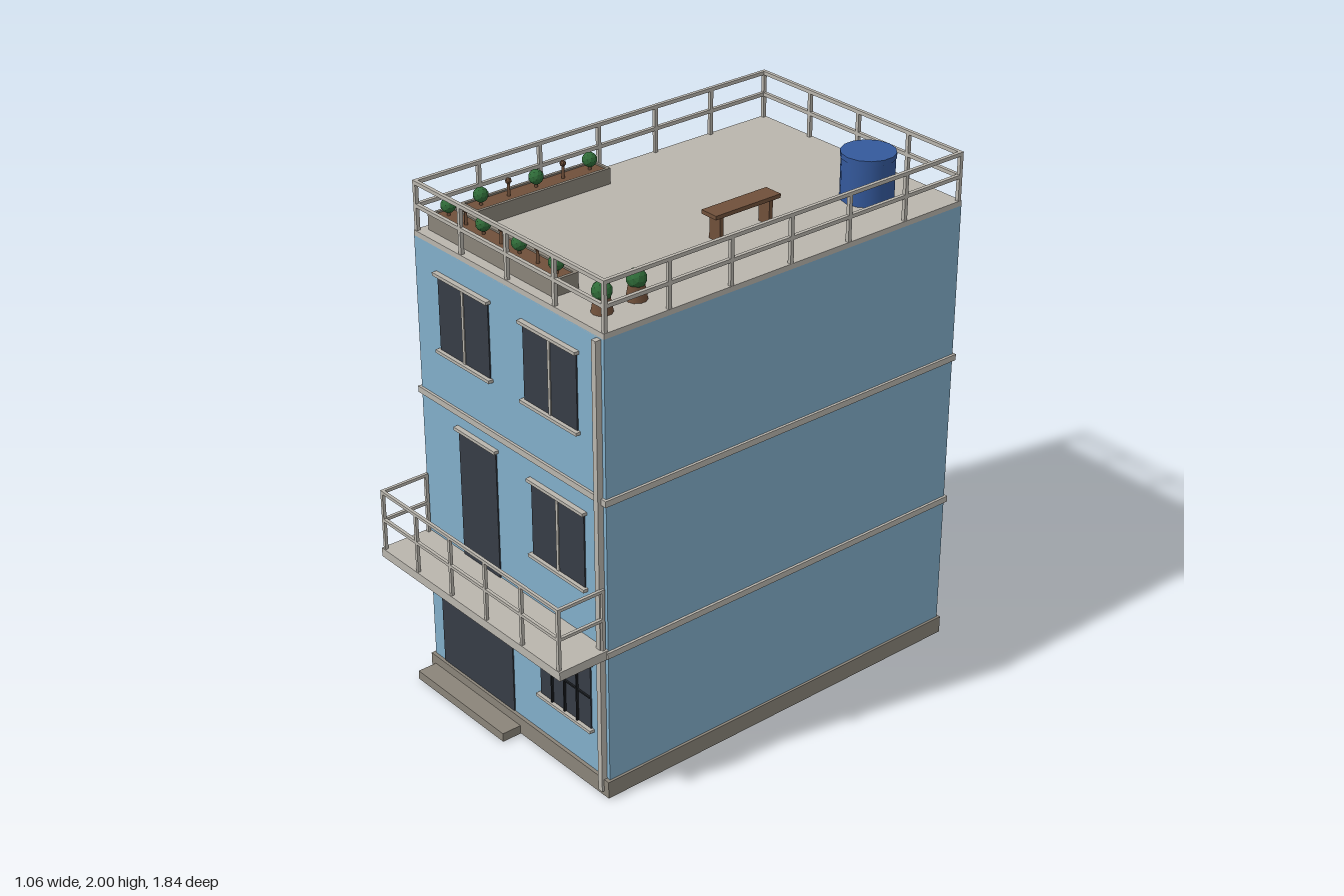
import * as THREE from 'three';

const mat = (name, color) => {
  const m = new THREE.MeshStandardMaterial({ color });
  m.name = name;
  return m;
};

export function createModel() {
  const M = {
    wall: mat('wall blue', 0x82aeca),
    trim: mat('pale concrete', 0xb9b5ad),
    base: mat('dark concrete', 0x8a8479),
    glass: mat('dark glass', 0x363c45),
    bar: mat('black iron', 0x1b1e22),
    tank: mat('tank blue', 0x34599c),
    wood: mat('brown wood', 0x70503a),
    leaf: mat('leaf green', 0x2f6b38),
  };
  const root = new THREE.Group();
  root.name = 'townhouse';

  const group = (name, parent = root) => {
    const g = new THREE.Group();
    g.name = name;
    parent.add(g);
    return g;
  };
  const add = (parent, name, geo, m, x, y, z) => {
    const mesh = new THREE.Mesh(geo, m);
    mesh.name = name;
    mesh.position.set(x, y, z);
    parent.add(mesh);
    return mesh;
  };
  // Box given by its minimum and maximum on each axis
  const box = (parent, name, m, x0, x1, y0, y1, z0, z1) =>
    add(parent, name, new THREE.BoxGeometry(x1 - x0, y1 - y0, z1 - z0), m,
      (x0 + x1) / 2, (y0 + y1) / 2, (z0 + z1) / 2);

  // Main volume, plinth, storey bands, roof
  const FRONT = 0.71, BACK = -0.908;
  box(root, 'walls', M.wall, -0.52, 0.52, 0, 1.795, BACK, FRONT);
  box(root, 'plinth', M.base, -0.53, 0.53, 0.002, 0.07, -0.916, 0.724);
  box(root, 'entranceStep', M.base, -0.505, 0.02, 0, 0.035, 0.72, 0.803);
  for (const y of [0.597, 1.195])
    box(root, 'storeyBand', M.trim, -0.53, 0.53, y - 0.012, y + 0.012, -0.916, 0.72);
  box(root, 'roofSlab', M.trim, -0.52, 0.52, 1.79, 1.815, BACK, FRONT);
  box(root, 'drainPipe', M.trim, 0.483, 0.505, 0.02, 1.79, FRONT, 0.733);

  // Openings: side is +1 on the front wall and -1 on the back wall
  const opening = (name, side, x0, x1, y0, y1, { sill = true, mullion = true, grille = false } = {}) => {
    const g = group(name);
    const wall = side > 0 ? FRONT : BACK;
    const plate = (n, m, a, b, c, d, depth) => {
      const z = wall + side * depth;
      box(g, n, m, a, b, c, d, Math.min(wall, z), Math.max(wall, z));
    };
    const out = side > 0 ? 0.02 : 0.012;
    plate('pane', M.glass, x0, x1, y0, y1, 0.005);
    plate('lintel', M.trim, x0 - 0.011, x1 + 0.011, y1, y1 + 0.012, out);
    if (sill) plate('sill', M.trim, x0 - 0.011, x1 + 0.011, y0 - 0.012, y0, out);
    const cx = (x0 + x1) / 2, cy = (y0 + y1) / 2;
    if (mullion) plate('mullion', M.trim, cx - 0.006, cx + 0.006, y0, y1, 0.009);
    if (grille) {
      for (let i = 1; i < 4; i++) {
        const x = x0 + (x1 - x0) * i / 4;
        plate('grilleBar', M.bar, x - 0.003, x + 0.003, y0, y1, 0.013);
      }
      plate('grilleBar', M.bar, x0, x1, cy - 0.003, cy + 0.003, 0.012);
    }
  };
  opening('garageDoor', 1, -0.455, -0.025, 0.072, 0.528, { sill: false, mullion: false });
  opening('groundWindow', 1, 0.14, 0.425, 0.24, 0.504, { mullion: false, grille: true });
  opening('balconyDoor', 1, -0.298, -0.083, 0.612, 1.125, { sill: false, mullion: false });
  opening('middleWindow', 1, 0.117, 0.405, 0.812, 1.1);
  opening('topWindow', 1, -0.384, -0.098, 1.408, 1.693);
  opening('topWindow', 1, 0.094, 0.38, 1.408, 1.693);
  for (const y of [0.212, 0.81, 1.408]) opening('backWindow', -1, -0.138, 0.138, y, y + 0.28);

  // Railings: bars run along a straight stretch between two ground points
  const railRun = (parent, [xa, za], [xb, zb], y0, y1, mid, segments, r) => {
    for (const y of [mid, y1 - r])
      box(parent, 'rail', M.trim, Math.min(xa, xb) - r, Math.max(xa, xb) + r, y - r, y + r,
        Math.min(za, zb) - r, Math.max(za, zb) + r);
    for (let i = 0; i <= segments; i++) {
      const x = xa + (xb - xa) * i / segments, z = za + (zb - za) * i / segments;
      box(parent, 'post', M.trim, x - r, x + r, y0, y1 - r, z - r, z + r);
    }
  };
  const roofRail = group('roofRailing');
  for (const z of [0.7, -0.898]) railRun(roofRail, [-0.512, z], [0.512, z], 1.81, 2, 1.908, 4, 0.007);
  for (const x of [-0.512, 0.512]) railRun(roofRail, [x, 0.7], [x, -0.898], 1.81, 2, 1.908, 6, 0.007);

  // Balcony
  const balcony = group('balcony');
  box(balcony, 'balconySlab', M.trim, -0.522, 0.522, 0.58, 0.615, FRONT, 0.92);
  railRun(balcony, [-0.508, 0.911], [0.508, 0.911], 0.61, 0.858, 0.737, 5, 0.006);
  for (const x of [-0.508, 0.508]) railRun(balcony, [x, 0.911], [x, 0.722], 0.61, 0.858, 0.737, 1, 0.006);

  // Water tank
  const tank = group('waterTank');
  add(tank, 'tankBody', new THREE.CylinderGeometry(0.098, 0.098, 0.16, 14), M.tank, 0.283, 1.895, -0.673);
  add(tank, 'tankLid', new THREE.CylinderGeometry(0.101, 0.101, 0.02, 14), M.tank, 0.283, 1.982, -0.673);

  // Bench
  const bench = group('bench');
  box(bench, 'seat', M.wood, 0.175, 0.25, 1.91, 1.925, -0.29, 0.005);
  for (const z of [-0.255, -0.03]) box(bench, 'leg', M.wood, 0.185, 0.24, 1.815, 1.91, z - 0.008, z + 0.008);

  // Plants
  const bush = (parent, x, y, z, r) => {
    const m = add(parent, 'bush', new THREE.IcosahedronGeometry(r, 1).toNonIndexed(), M.leaf, x, y, z);
    m.geometry.computeVertexNormals();
  };
  const plant = (parent, x, z, leafy) => {
    const h = leafy ? 0.03 : 0.055;
    add(parent, 'stem', new THREE.CylinderGeometry(0.005, 0.007, h, 6), M.wood, x, 1.868 + h / 2, z);
    if (leafy) bush(parent, x, 1.908, z, 0.028);
    else add(parent, 'bud', new THREE.IcosahedronGeometry(0.013, 0), M.wood, x, 1.926, z);
  };
  const planter = (x0, x1, z0, z1) => {
    const g = group('planter');
    const t = 0.012;
    for (const [a, b, c, d] of [[x0, x1, z0, z0 + t], [x0, x1, z1 - t, z1],
      [x0, x0 + t, z0 + t, z1 - t], [x1 - t, x1, z0 + t, z1 - t]])
      box(g, 'planterWall', M.base, a, b, 1.815, 1.876, c, d);
    box(g, 'soil', M.wood, x0 + t, x1 - t, 1.815, 1.87, z0 + t, z1 - t);
    return g;
  };
  const sidePlanter = planter(-0.49, -0.39, -0.055, 0.535);
  for (let i = 0; i < 5; i++) plant(sidePlanter, -0.44, i * 0.12, i % 2 === 0);
  const frontPlanter = planter(-0.49, 0.21, 0.565, 0.67);
  for (let i = 0; i < 7; i++) plant(frontPlanter, -0.44 + i * 0.1, 0.617, i % 2 === 0);
  for (const z of [0.468, 0.612]) {
    const g = group('pottedPlant');
    add(g, 'pot', new THREE.CylinderGeometry(0.028, 0.038, 0.055, 10), M.wood, 0.39, 1.8425, z);
    bush(g, 0.39, 1.89, z, 0.036);
  }
  return root;
}
